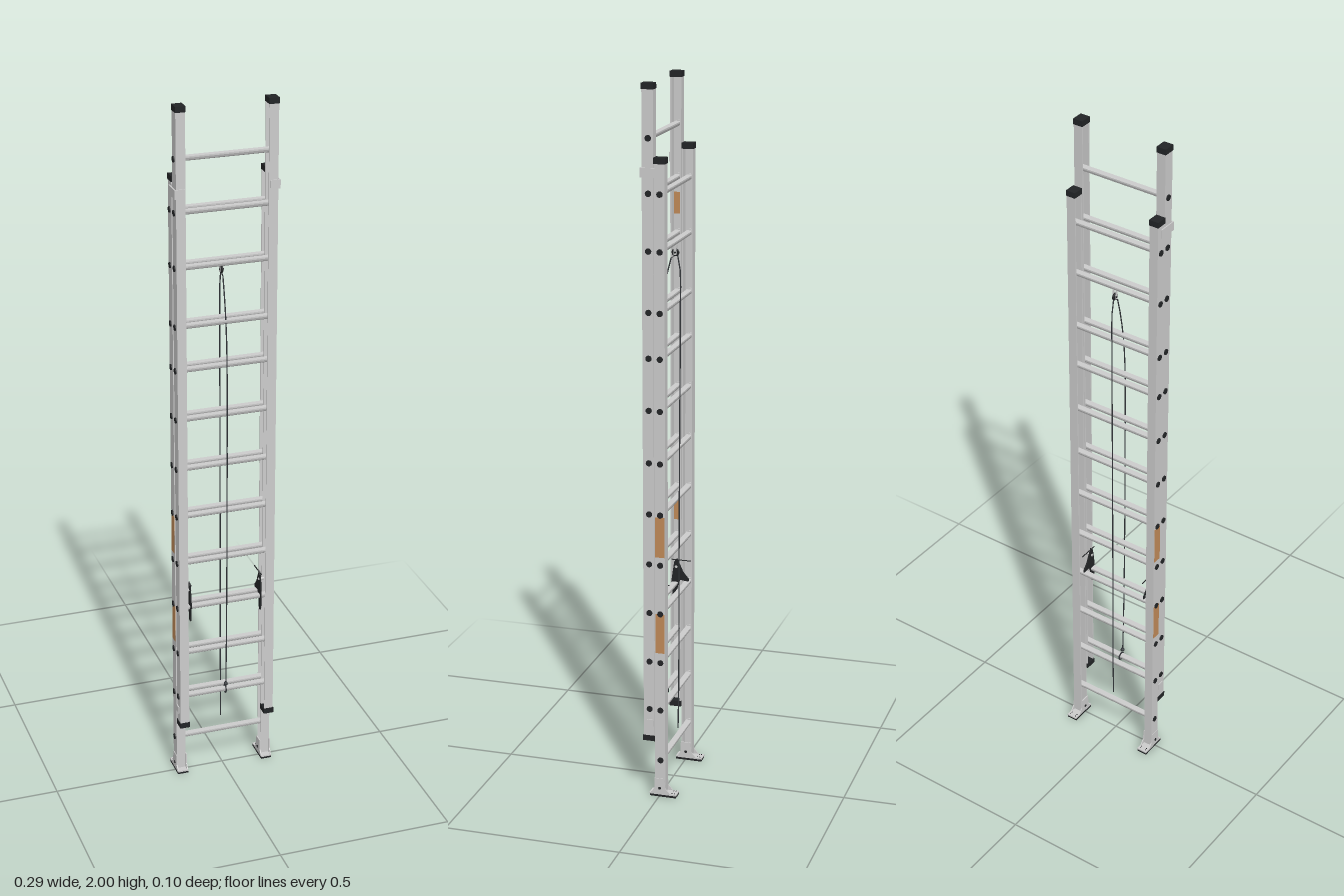
import * as THREE from 'three';

const grey = new THREE.MeshStandardMaterial({ color: 0xcccccc });
const black = new THREE.MeshStandardMaterial({ color: 0x222426 });
const orange = new THREE.MeshStandardMaterial({ color: 0xc08a58 });
const ropeMat = new THREE.MeshStandardMaterial({ color: 0x33363a });

function add(parent, name, geometry, material, x = 0, y = 0, z = 0) {
  const mesh = new THREE.Mesh(geometry, material);
  mesh.name = name;
  mesh.position.set(x, y, z);
  parent.add(mesh);
  return mesh;
}
const box = (w, h, d) => new THREE.BoxGeometry(w, h, d);

// Shape from [a, b] corner pairs
const outline = (pts) => new THREE.Shape(pts.map(([a, b]) => new THREE.Vector2(a, b)));

// Plan outline given as [x, z], extruded upwards
function extrudeUp(pts, height) {
  const geo = new THREE.ExtrudeGeometry(outline(pts.map(([x, z]) => [x, -z])), { depth: height, bevelEnabled: false });
  return geo.rotateX(-Math.PI / 2);
}

// Side outline given as [z, y], extruded across x and centred
function extrudeAcross(pts, width) {
  const geo = new THREE.ExtrudeGeometry(outline(pts.map(([z, y]) => [-z, y])), { depth: width, bevelEnabled: false });
  return geo.translate(0, 0, -width / 2).rotateY(Math.PI / 2);
}

// C-channel rail with its flanges pointing inwards
function channel(s, xIn, xOut, z0, z1, height) {
  const t = 0.003;
  return extrudeUp([
    [xOut, z0], [xOut, z1], [xIn, z1], [xIn, z1 - t],
    [xOut - t, z1 - t], [xOut - t, z0 + t], [xIn, z0 + t], [xIn, z0],
  ].map(([x, z]) => [s * x, z]), height);
}

// D-shaped rung: flat tread on top, rounded underneath
function rungGeometry(length) {
  return extrudeAcross([
    [-0.0085, 0.006], [0.0085, 0.006], [0.0085, 0.002], [0.006, -0.004],
    [0.002, -0.007], [-0.002, -0.007], [-0.006, -0.004], [-0.0085, 0.002],
  ], length);
}

const rungHeights = [0.111, 0.262, 0.404, 0.548, 0.69, 0.834, 0.979, 1.126, 1.27, 1.395, 1.56, 1.713, 1.858];

// One ladder section: two rails, caps, rungs and rung ends
function ladderSection(name, { xIn, xOut, z0, z1, y0, y1, rungZ, rungs }) {
  const g = new THREE.Group();
  g.name = name;
  const xm = (xIn + xOut) / 2;
  const zm = (z0 + z1) / 2;
  for (const s of [-1, 1]) {
    add(g, 'rail', channel(s, xIn, xOut, z0, z1, y1 - y0 - 0.004), grey, 0, y0, 0);
    add(g, 'railTopCap', box(xOut - xIn + 0.002, 0.016, z1 - z0 + 0.002), black, s * xm, y1 - 0.008, zm);
    for (const y of rungs) {
      const end = new THREE.CylinderGeometry(0.0085, 0.0085, 0.004, 12).rotateZ(Math.PI / 2);
      add(g, 'rungEnd', end, black, s * (xOut + 0.0008), y, rungZ);
      const collar = new THREE.CylinderGeometry(0.01, 0.01, 0.004, 12).rotateZ(Math.PI / 2);
      add(g, 'rungCollar', collar, grey, s * (xOut - 0.005), y, rungZ);
    }
  }
  for (const y of rungs) add(g, 'rung', rungGeometry(2 * xOut - 0.004), grey, 0, y, rungZ);
  return g;
}

// Swivel foot with side plates, pad and bolt
function foot(s) {
  const g = new THREE.Group();
  g.name = 'foot';
  g.position.x = s * 0.128;
  add(g, 'footPad', box(0.031, 0.006, 0.076), black, 0, 0.003, -0.011);
  add(g, 'footPlate', box(0.031, 0.004, 0.078), grey, 0, 0.008, -0.011);
  const cheek = [[-0.034, 0.008], [0.025, 0.008], [0.014, 0.024], [0.013, 0.055], [-0.016, 0.055], [-0.019, 0.025]];
  for (const k of [-1, 1]) add(g, 'footCheek', extrudeAcross(cheek, 0.003), grey, k * 0.0145, 0, 0);
  add(g, 'footBolt', new THREE.CylinderGeometry(0.004, 0.004, 0.036, 10).rotateZ(Math.PI / 2), black, 0, 0.026, -0.002);
  for (const z of [-0.043, -0.036])
    for (const x of [-0.009, 0.009])
      add(g, 'footRivet', new THREE.CylinderGeometry(0.0015, 0.0015, 0.002, 8), black, x, 0.0105, z);
  return g;
}

// Hooked lock that rests the fly section on a base rung
function rungLock(s) {
  const g = new THREE.Group();
  g.name = 'rungLock';
  g.position.x = s * 0.104;
  const hook = [[0.034, 0.505], [0.038, 0.56], [0.03, 0.615], [0.022, 0.625], [0.004, 0.585],
    [-0.012, 0.566], [-0.012, 0.558], [0.012, 0.561], [0.018, 0.55], [0.026, 0.505]];
  add(g, 'lockHook', extrudeAcross(hook, 0.004), black);
  add(g, 'lockPin', new THREE.CylinderGeometry(0.0015, 0.0015, 0.058, 8).rotateX(Math.PI / 2), black, 0, 0.62, 0.01);
  add(g, 'lockPivot', new THREE.CylinderGeometry(0.004, 0.004, 0.016, 10).rotateZ(Math.PI / 2), grey, s * 0.004, 0.6, 0.024);
  return g;
}

function rope(points) {
  const curve = new THREE.CatmullRomCurve3(points.map((p) => new THREE.Vector3(...p)));
  return new THREE.TubeGeometry(curve, 60, 0.0018, 6);
}

// Pulley wheel held between two cheeks
function pulley(y, z) {
  const g = new THREE.Group();
  g.name = 'pulley';
  g.position.set(0, y, z);
  add(g, 'pulleyWheel', new THREE.TorusGeometry(0.008, 0.003, 8, 18).rotateY(Math.PI / 2), black);
  add(g, 'pulleyAxle', new THREE.CylinderGeometry(0.003, 0.003, 0.012, 8).rotateZ(Math.PI / 2), black);
  for (const k of [-1, 1]) add(g, 'pulleyCheek', box(0.0015, 0.026, 0.007), grey, k * 0.0045, 0.006, 0);
  return g;
}

export function createModel() {
  const model = new THREE.Group();
  model.name = 'extensionLadder';

  model.add(ladderSection('baseSection', {
    xIn: 0.116, xOut: 0.142, z0: -0.018, z1: 0.012, y0: 0.012, y1: 1.808, rungZ: -0.0045, rungs: rungHeights.slice(0, 12),
  }));
  model.add(ladderSection('flySection', {
    xIn: 0.114, xOut: 0.14, z0: 0.014, z1: 0.045, y0: 0.172, y1: 2, rungZ: 0.0275, rungs: rungHeights.slice(1),
  }));

  for (const s of [-1, 1]) {
    model.add(foot(s), rungLock(s));

    // Fly bottom boots and guide brackets
    add(model, 'flyBoot', box(0.029, 0.016, 0.034), black, s * 0.127, 0.174, 0.03);
    add(model, 'lowerGuide', box(0.003, 0.02, 0.02), grey, s * 0.1415, 0.22, 0.026);
    const guide = extrudeUp([
      [0.142, -0.005], [0.145, -0.005], [0.145, 0.049], [0.116, 0.049], [0.116, 0.046], [0.142, 0.046],
    ].map(([x, z]) => [s * x, z]), 0.025);
    add(model, 'upperGuide', guide, grey, 0, 1.756, 0);

    // Coloured panels on the outside and inside of the rails
    for (const y of [0.49, 0.77]) add(model, 'outerLabel', box(0.001, 0.115, 0.026), orange, s * 0.1422, y, -0.003);
    for (const y of [0.76, 1.64]) add(model, 'innerLabel', box(0.001, 0.06, 0.022), orange, s * 0.1368, y, 0.0295);
  }

  // Hoisting rope: over the top pulley, down both sides, tied at the lowest fly rung
  model.add(pulley(1.532, -0.0045));
  add(model, 'rope', rope([
    [0, 0.275, 0.034], [0, 0.34, 0.037], [0, 0.6, 0.042], [0, 1.0, 0.044], [0, 1.35, 0.038], [0, 1.5, 0.012],
    [0, 1.541, -0.003], [0, 1.5, -0.016], [0, 1.35, -0.018], [0, 1.0, -0.0165], [0, 0.6, -0.015],
    [0, 0.3, -0.0145], [0, 0.15, -0.0125],
  ]), ropeMat);
  add(model, 'ropeKnot', new THREE.SphereGeometry(0.006, 10, 8), ropeMat, 0, 0.282, 0.034);
  add(model, 'ropeHitch', new THREE.TorusGeometry(0.011, 0.002, 6, 18).rotateY(Math.PI / 2), ropeMat, 0, 0.262, 0.0275);
  return model;
}
